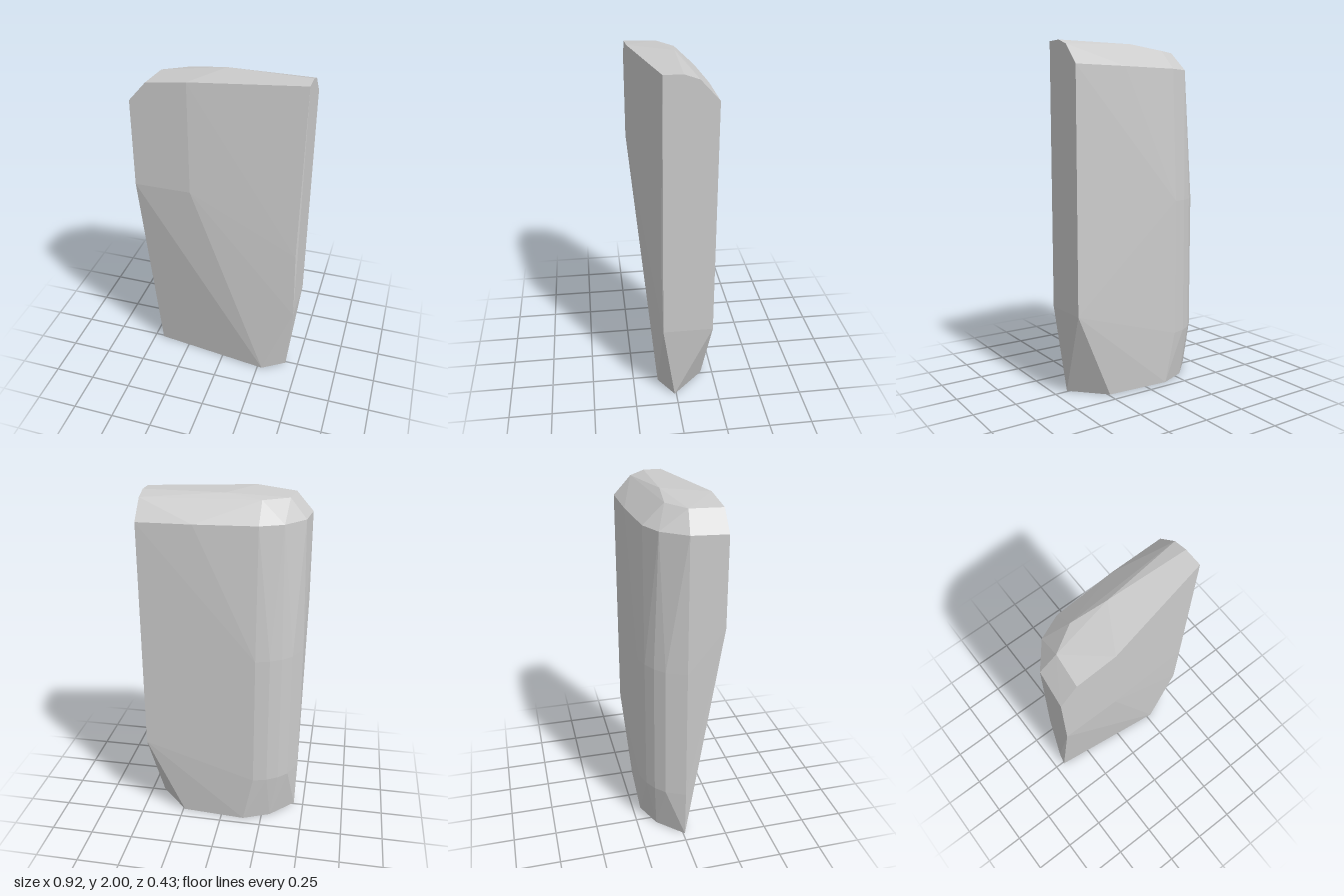
import * as THREE from 'three';
import { ConvexGeometry } from 'three/addons/geometries/ConvexGeometry.js';

export function createModel() {
  const group = new THREE.Group();
  group.name = 'slab';
  const points = [];
  const add = (list) => list.forEach(([x, y, z]) => points.push(new THREE.Vector3(x, y, z)));
  const ring = (y, list) => add(list.map(([x, z]) => [x, y, z]));

  // Flat top and its chamfered rim
  ring(2, [[-0.14, 0.212], [0, -0.035], [0.46, -0.02], [0.46, 0.083]]);
  ring(1.972, [[-0.36, 0.212], [-0.342, 0.03], [-0.2, -0.058], [0.46, -0.1]]);
  ring(1.862, [[-0.457, 0.212], [-0.435, 0.015], [-0.33, -0.118],
    [-0.2, -0.175], [0.15, -0.199], [0.46, -0.202]]);

  // Upper front panel, where the taper begins
  ring(1.355, [[-0.46, 0.212], [-0.14, 0.212]]);
  add([[0.45, 0.95, 0.092]]);

  // Rounded back corner
  for (const y of [1.1, 0.3]) {
    ring(y, [[-0.452, 0.01], [-0.4, -0.1], [-0.345, -0.153], [-0.28, -0.19], [-0.2, -0.213]]);
  }

  // Straight side and the cut lower corner
  ring(0.5, [[0.46, 0.083], [0.46, -0.204]]);

  // Base
  ring(0, [[-0.442, 0.01], [0.28, 0.1], [0.42, 0.01], [0.24, -0.178],
    [-0.14, -0.203], [-0.3, -0.135]]);

  const body = new THREE.Mesh(
    new ConvexGeometry(points),
    new THREE.MeshStandardMaterial({ color: 0xcccccc, flatShading: true })
  );
  body.name = 'slabBody';
  group.add(body);
  return group;
}
